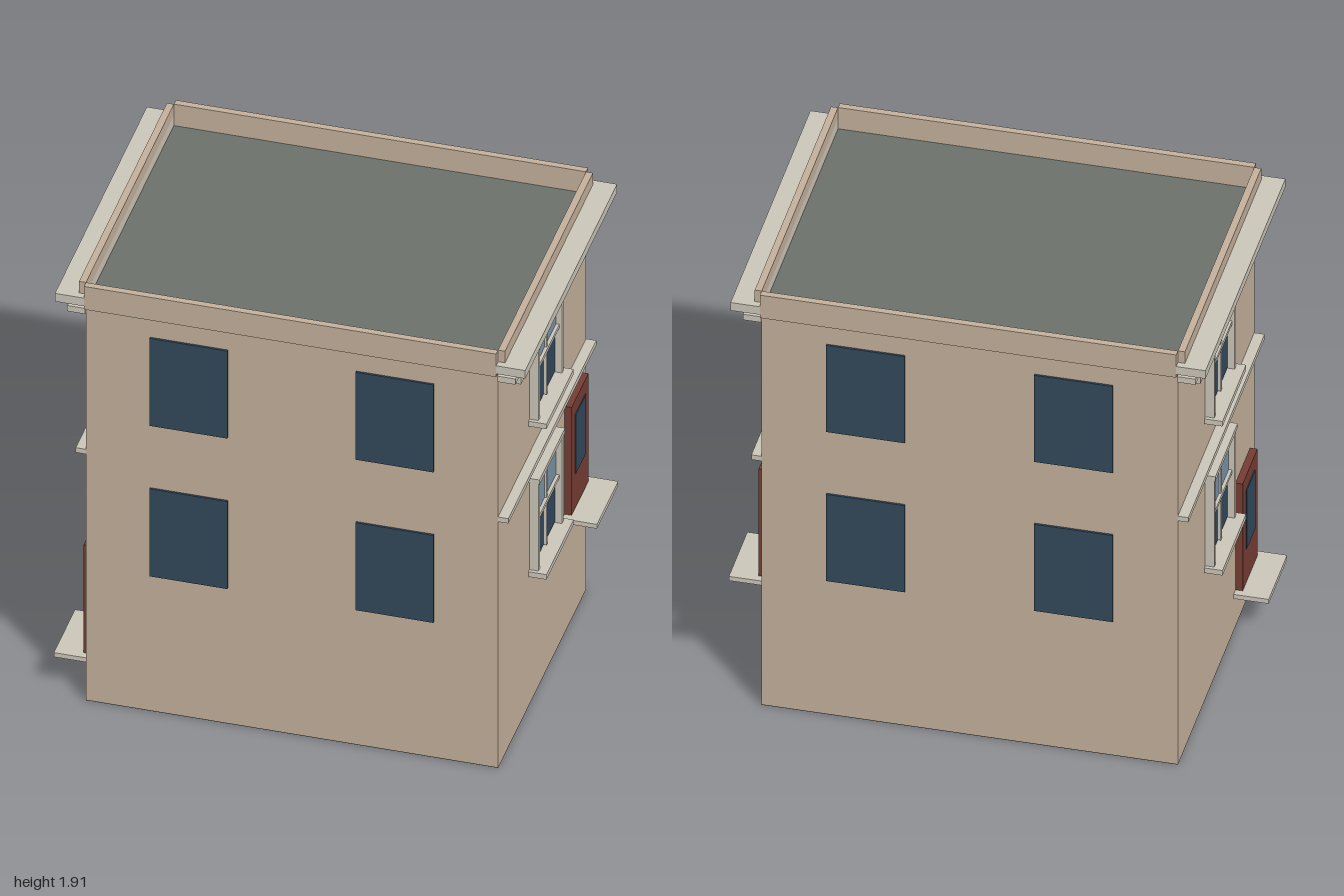
import * as THREE from 'three';

const mat = (color) => new THREE.MeshStandardMaterial({ color });
const wall = mat(0xc3af9b), trim = mat(0xcac5b8), roofing = mat(0x6b706a);
const glass = mat(0x32475a), paleGlass = mat(0x7891a6), doorRed = mat(0x743c33);

const W = 0.8, D = 0.6; // half width and half depth of the block

// Box given by its limits on each axis
function box(parent, name, material, [x0, x1], [y0, y1], [z0, z1]) {
  const mesh = new THREE.Mesh(new THREE.BoxGeometry(x1 - x0, y1 - y0, z1 - z0), material);
  mesh.position.set((x0 + x1) / 2, (y0 + y1) / 2, (z0 + z1) / 2);
  mesh.name = name;
  parent.add(mesh);
  return mesh;
}

// Part fixed to the +x wall: sticks out by d, centred on z with width w
const onWall = (parent, name, material, d, y, z, w) =>
  box(parent, name, material, [W, W + d], y, [z - w / 2, z + w / 2]);

// Framed sash window, y is the bottom of the glass
function sashWindow(y) {
  const g = new THREE.Group();
  g.name = 'sashWindow';
  const top = y + 0.395, mid = y + 0.208;
  onWall(g, 'lowerPane', glass, 0.008, [y, mid], 0, 0.3);
  onWall(g, 'upperPane', paleGlass, 0.012, [mid, top], 0, 0.3);
  for (const s of [-1, 1]) onWall(g, 'jamb', trim, 0.035, [y - 0.005, top], s * 0.16, 0.022);
  onWall(g, 'header', trim, 0.04, [top, top + 0.02], 0, 0.35);
  onWall(g, 'meetingRail', trim, 0.025, [mid - 0.008, mid + 0.008], 0, 0.3);
  onWall(g, 'glazingBar', trim, 0.02, [y, top], 0, 0.014);
  onWall(g, 'sill', trim, 0.07, [y - 0.028, y - 0.005], 0, 0.37);
  return g;
}

// Door with glazed panel on a projecting step
function door(y) {
  const g = new THREE.Group();
  g.name = 'door';
  onWall(g, 'doorLeaf', doorRed, 0.028, [y, y + 0.493], -0.42, 0.23);
  onWall(g, 'doorGlass', glass, 0.032, [y + 0.16, y + 0.43], -0.42, 0.136);
  onWall(g, 'doorStep', trim, 0.135, [y - 0.02, y], -0.42, 0.29);
  return g;
}

// Decorated end wall facing +x
function facade(doorY) {
  const g = new THREE.Group();
  g.name = 'facade';
  g.add(sashWindow(0.62), sashWindow(1.308), door(doorY));
  onWall(g, 'beltCourse', trim, 0.04, [1.125, 1.147], 0, 1.2);
  onWall(g, 'corniceBand', trim, 0.07, [1.772, 1.798], 0, 1.22);
  onWall(g, 'corniceSlab', trim, 0.113, [1.82, 1.857], 0, 1.255);
  for (let i = -3; i <= 3; i++) onWall(g, 'bracket', trim, 0.066, [1.71, 1.772], i * 0.167, 0.035);
  onWall(g, 'sideParapet', wall, 0.027, [1.805, 1.91], 0, 2 * D);
  return g;
}

// Plain long wall facing +z
function longWall() {
  const g = new THREE.Group();
  g.name = 'longWall';
  for (const x of [-0.4, 0.4])
    for (const y of [0.62, 1.308])
      box(g, 'plainWindow', glass, [x - 0.151, x + 0.151], [y, y + 0.4], [D, D + 0.008]);
  box(g, 'longParapet', wall, [-W, W], [1.805, 1.91], [D, D + 0.027]);
  return g;
}

export function createModel() {
  const house = new THREE.Group();
  house.name = 'house';
  box(house, 'base', roofing, [-W, W], [0, 0.003], [-D, D]);
  box(house, 'walls', wall, [-W, W], [0.003, 1.8], [-D, D]);
  box(house, 'roof', roofing, [-W, W], [1.8, 1.812], [-D, D]);

  // Opposite sides are half-turn copies; only the door height differs
  [0.545, 0.168].forEach((doorY, i) => {
    const side = new THREE.Group();
    side.name = i ? 'leftHandSide' : 'rightHandSide';
    side.add(facade(doorY), longWall());
    side.rotation.y = i * Math.PI;
    house.add(side);
  });

  // The block stands slightly turned
  house.rotation.y = THREE.MathUtils.degToRad(9);
  const model = new THREE.Group();
  model.name = 'model';
  model.add(house);
  return model;
}
